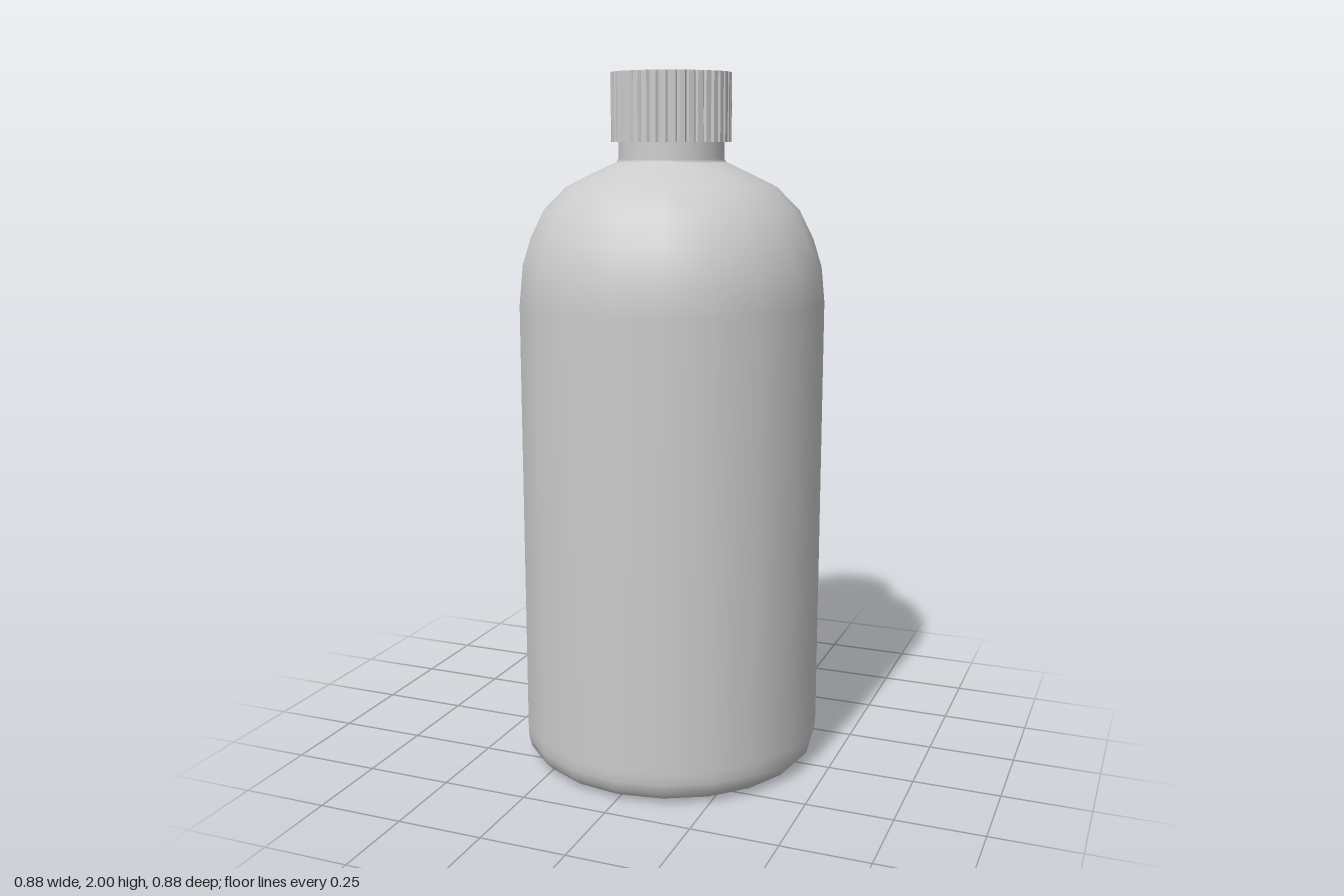
import * as THREE from 'three';

const SIDES = 20;

function lathe(name, points, material) {
  const profile = points.map(([r, y]) => new THREE.Vector2(r, y));
  const mesh = new THREE.Mesh(new THREE.LatheGeometry(profile, SIDES), material);
  mesh.name = name;
  return mesh;
}

// Ribbed outline: wide ridges separated by narrow grooves
function ribbedShape(ribs, outer, inner) {
  const points = [];
  const step = (Math.PI * 2) / ribs;
  for (let i = 0; i < ribs; i++) {
    for (const [t, r] of [[0, inner], [0.2, outer], [0.8, outer]]) {
      const a = (i + t) * step;
      points.push(new THREE.Vector2(Math.cos(a) * r, Math.sin(a) * r));
    }
  }
  return new THREE.Shape(points);
}

export function createModel() {
  const group = new THREE.Group();
  group.name = 'bottle';
  const material = new THREE.MeshStandardMaterial({ color: 0xcccccc });
  const openMaterial = new THREE.MeshStandardMaterial({ color: 0xcccccc, side: THREE.DoubleSide });

  // Body: shallow dished base, rounded foot, straight wall, domed shoulder
  group.add(lathe('body', [
    [0, 0.02], [0.31, 0.015], [0.36, 0], [0.38, 0.003], [0.41, 0.014], [0.43, 0.035],
    [0.438, 0.065], [0.44, 0.1], [0.44, 1.36], [0.43, 1.46], [0.405, 1.54],
    [0.365, 1.62], [0.3, 1.685], [0.225, 1.722], [0.155, 1.755],
  ], material));

  // Neck running up inside the cap
  group.add(lathe('neck', [[0.155, 1.755], [0.15, 1.763], [0.15, 1.9]], openMaterial));

  // Ribbed screw cap
  const capGeometry = new THREE.ExtrudeGeometry(ribbedShape(40, 0.17, 0.164), {
    depth: 0.19, bevelEnabled: false,
  });
  capGeometry.rotateX(-Math.PI / 2);
  const cap = new THREE.Mesh(capGeometry, material);
  cap.name = 'cap';
  cap.position.y = 1.81;
  group.add(cap);

  return group;
}
